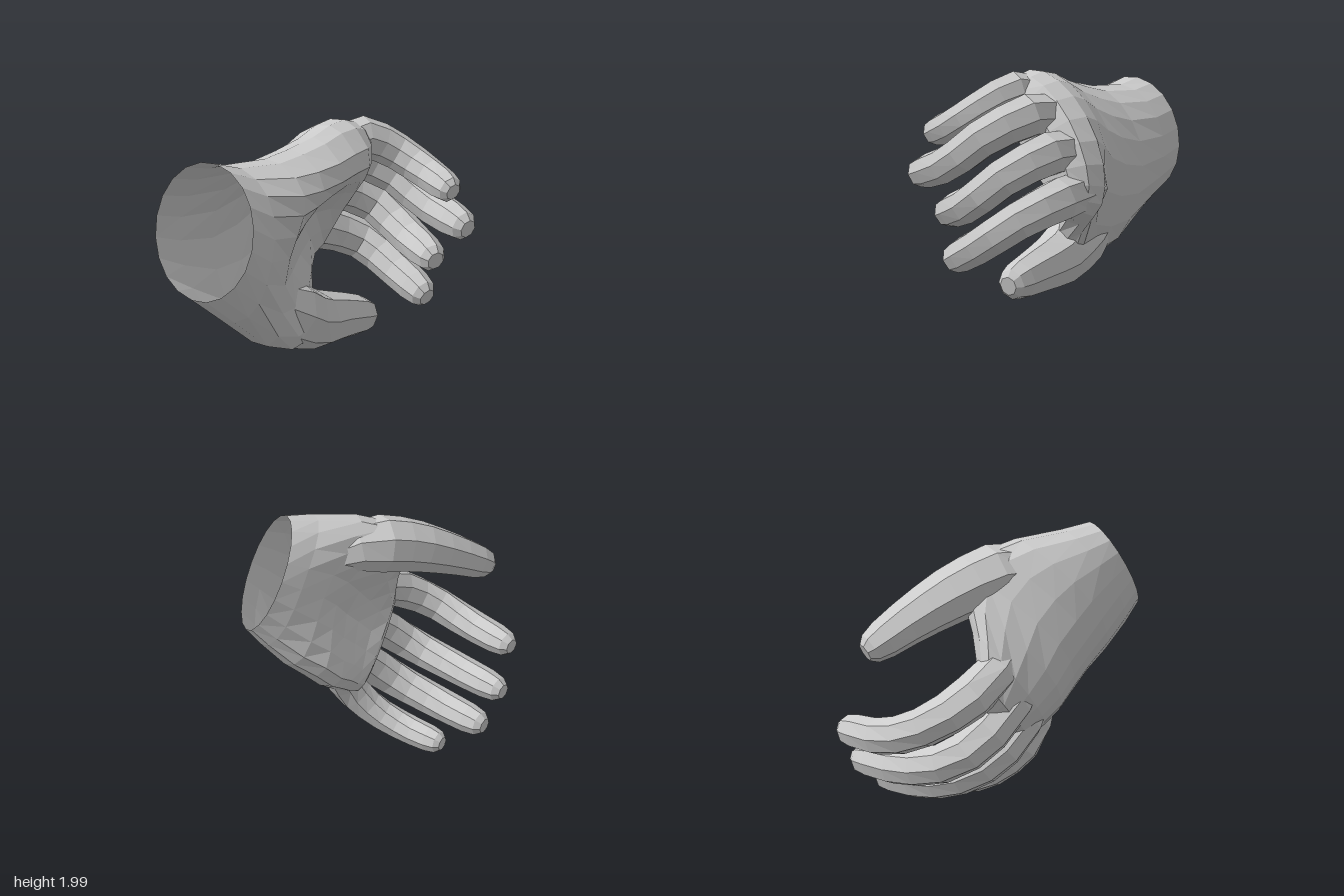
import * as THREE from 'three';

const V = (a) => new THREE.Vector3(...a);
const material = new THREE.MeshStandardMaterial({
  color: 0xcccccc, flatShading: true, side: THREE.DoubleSide,
});

// Skin over rings of points, each ring having the same count; the far end is closed
function skin(rings, flip, capStart) {
  const sides = rings[0].length, idx = [];
  const tri = (a, b, c) => (flip ? idx.push(a, c, b) : idx.push(a, b, c));
  for (let r = 0; r < rings.length - 1; r++) {
    for (let i = 0; i < sides; i++) {
      const a = r * sides + i, b = r * sides + ((i + 1) % sides);
      tri(a, b, b + sides);
      tri(a, b + sides, a + sides);
    }
  }
  const last = (rings.length - 1) * sides;
  for (let i = 1; i < sides - 1; i++) {
    tri(last, last + i, last + i + 1);
    if (capStart) tri(0, i + 1, i);
  }
  const g = new THREE.BufferGeometry().setFromPoints(rings.flat());
  g.setIndex(idx);
  g.computeVertexNormals();
  return g;
}

// Palm ring: hollow dents its inner face, reach pulls its thumb edge outward
function palmRing([c, w, d, hollow, reach]) {
  return Array.from({ length: 20 }, (_, i) => {
    const a = (i / 20) * Math.PI * 2, k = Math.cos(a);
    let s = Math.sin(a);
    if (s < 0) s *= 1 + hollow * (0.8 - 1.6 * s * s);
    return V(c).addScaledVector(V(w), k).addScaledVector(V(d), s)
      .addScaledVector(V(reach), Math.max(k, 0) ** 2);
  });
}

// Finger or thumb: tapered tube along its joints, rounded at the tip
function digit(joints, radii, side) {
  const curve = new THREE.CatmullRomCurve3(joints.map(V), false, 'centripetal');
  const rings = [0, 0.15, 0.3, 0.42, 0.54, 0.66, 0.78, 0.9, 0.97, 1].map((u) => {
    const f = u * (radii.length - 1), k = Math.min(Math.floor(f), radii.length - 2);
    let r = THREE.MathUtils.lerp(radii[k], radii[k + 1], f - k);
    r *= u === 1 ? 0.55 : u > 0.95 ? 0.87 : 1;
    const t = curve.getTangentAt(u), c = curve.getPointAt(u);
    const w = side.clone().addScaledVector(t, -side.dot(t)).normalize();
    const d = t.clone().cross(w);
    return Array.from({ length: 8 }, (_, i) => {
      const a = (i / 8) * Math.PI * 2;
      return c.clone().addScaledVector(w, r * Math.cos(a)).addScaledVector(d, r * Math.sin(a));
    });
  });
  return skin(rings, false, true);
}

function buildHand(name, { palm, fingers, thumb, side }) {
  const hand = new THREE.Group();
  hand.name = name;
  const add = (part, geometry) => {
    const m = new THREE.Mesh(geometry, material);
    m.name = part;
    hand.add(m);
  };
  // Palm with an open wrist
  const [[c0, w0, d0], [c1]] = palm;
  const flip = V(w0).cross(V(d0)).dot(V(c1).sub(V(c0))) < 0;
  add('palmAndWrist', skin(palm.map(palmRing), flip, false));
  for (const [part, joints] of Object.entries(fingers)) {
    const s = part === 'littleFinger' ? 0.88 : 1;
    add(part, digit(joints, [0.05, 0.062, 0.054, 0.05, 0.044].map((r) => r * s), V(side)));
  }
  add('thumb', digit(thumb, [0.05, 0.088, 0.08, 0.064, 0.047], V(side)));
  return hand;
}

// Palm rings: centre, half width toward the thumb, half depth toward the back, hollow, reach
const upperHand = {
  side: [0, 0.8, 0.6],
  palm: [
    [[-0.575, 1.82, 0.095], [-0.02, -0.168, -0.03], [-0.03, 0.02, -0.134], 0, [0, 0, 0]],
    [[-0.5, 1.785, 0.095], [-0.02, -0.178, -0.03], [-0.02, 0.03, -0.146], 0.1, [0, -0.02, 0.01]],
    [[-0.39, 1.76, 0.08], [-0.02, -0.195, -0.06], [-0.01, 0.04, -0.145], 0.35, [0, -0.07, 0.05]],
    [[-0.3, 1.76, 0.05], [-0.01, -0.2, -0.085], [0, 0.05, -0.135], 0.65, [0, -0.1, 0.09]],
    [[-0.22, 1.77, 0.02], [-0.01, -0.2, -0.11], [0, 0.06, -0.12], 0.85, [0.03, -0.11, 0.11]],
    [[-0.15, 1.785, -0.005], [-0.01, -0.195, -0.12], [0, 0.07, -0.115], 0.85, [0.01, -0.04, 0.06]],
    [[-0.09, 1.79, -0.025], [-0.01, -0.19, -0.13], [0, 0.075, -0.11], 0.7, [0, 0, 0]],
    [[-0.04, 1.79, -0.035], [0, -0.178, -0.13], [0.01, 0.065, -0.09], 0.4, [0, 0, 0]],
    [[0, 1.79, -0.04], [0, -0.155, -0.115], [0.01, 0.035, -0.05], 0, [0, 0, 0]],
  ],
  fingers: {
    indexFinger: [[-0.14, 1.68, -0.11], [0.02, 1.65, -0.145], [0.15, 1.59, -0.1], [0.175, 1.53, 0], [0.165, 1.48, 0.13]],
    middleFinger: [[-0.14, 1.77, -0.08], [0.02, 1.77, -0.11], [0.155, 1.705, -0.06], [0.17, 1.64, 0.04], [0.13, 1.605, 0.19]],
    ringFinger: [[-0.14, 1.86, -0.02], [0.02, 1.87, -0.04], [0.135, 1.81, 0.03], [0.16, 1.745, 0.13], [0.145, 1.71, 0.285]],
    littleFinger: [[-0.14, 1.915, 0.05], [-0.01, 1.935, 0.055], [0.075, 1.89, 0.1], [0.1, 1.85, 0.17], [0.085, 1.82, 0.285]],
  },
  thumb: [[-0.4, 1.61, 0.07], [-0.28, 1.54, 0.05], [-0.17, 1.48, 0.03], [-0.05, 1.45, 0.005], [0.09, 1.415, -0.015]],
};

const lowerHand = {
  side: [0.6, 0.7, -0.3],
  palm: [
    [[-0.145, 0.64, -0.19], [0.11, 0.132, -0.03], [0.035, -0.02, -0.103], 0, [0, 0, 0]],
    [[-0.09, 0.6, -0.175], [0.125, 0.15, -0.035], [0.03, -0.02, -0.113], 0.1, [0.01, 0.01, 0.02]],
    [[-0.02, 0.545, -0.155], [0.14, 0.168, -0.05], [0.02, -0.02, -0.123], 0.35, [0.035, 0.03, 0.08]],
    [[0.035, 0.495, -0.14], [0.14, 0.17, -0.06], [0.01, -0.02, -0.125], 0.65, [0.05, 0.05, 0.12]],
    [[0.09, 0.44, -0.133], [0.14, 0.17, -0.062], [0.01, -0.02, -0.12], 0.85, [0.05, 0.05, 0.13]],
    [[0.14, 0.39, -0.135], [0.14, 0.155, -0.06], [0.01, -0.025, -0.112], 0.8, [0.035, 0.05, 0.1]],
    [[0.19, 0.34, -0.135], [0.145, 0.133, -0.06], [0.02, -0.025, -0.098], 0.6, [0.005, 0.045, 0.05]],
    [[0.23, 0.3, -0.13], [0.138, 0.116, -0.055], [0.025, -0.025, -0.08], 0.3, [0, 0, 0]],
    [[0.255, 0.275, -0.125], [0.118, 0.097, -0.045], [0.025, -0.025, -0.045], 0, [0, 0, 0]],
  ],
  fingers: {
    indexFinger: [[0.24, 0.45, -0.15], [0.36, 0.4, -0.185], [0.49, 0.32, -0.13], [0.54, 0.265, -0.01], [0.545, 0.25, 0.165]],
    middleFinger: [[0.18, 0.38, -0.16], [0.28, 0.31, -0.185], [0.4, 0.2, -0.125], [0.45, 0.155, 0], [0.465, 0.14, 0.205]],
    ringFinger: [[0.11, 0.31, -0.13], [0.19, 0.235, -0.145], [0.29, 0.135, -0.09], [0.345, 0.085, 0.02], [0.37, 0.065, 0.215]],
    littleFinger: [[0.04, 0.27, -0.09], [0.1, 0.185, -0.1], [0.16, 0.1, -0.05], [0.205, 0.055, 0.03], [0.23, 0.045, 0.17]],
  },
  thumb: [[0.04, 0.64, -0.13], [0.15, 0.655, -0.09], [0.27, 0.63, -0.05], [0.41, 0.57, 0], [0.565, 0.485, 0.05]],
};

export function createModel() {
  const model = new THREE.Group();
  model.name = 'pairOfHands';
  model.add(buildHand('upperHand', upperHand), buildHand('lowerHand', lowerHand));
  return model;
}
